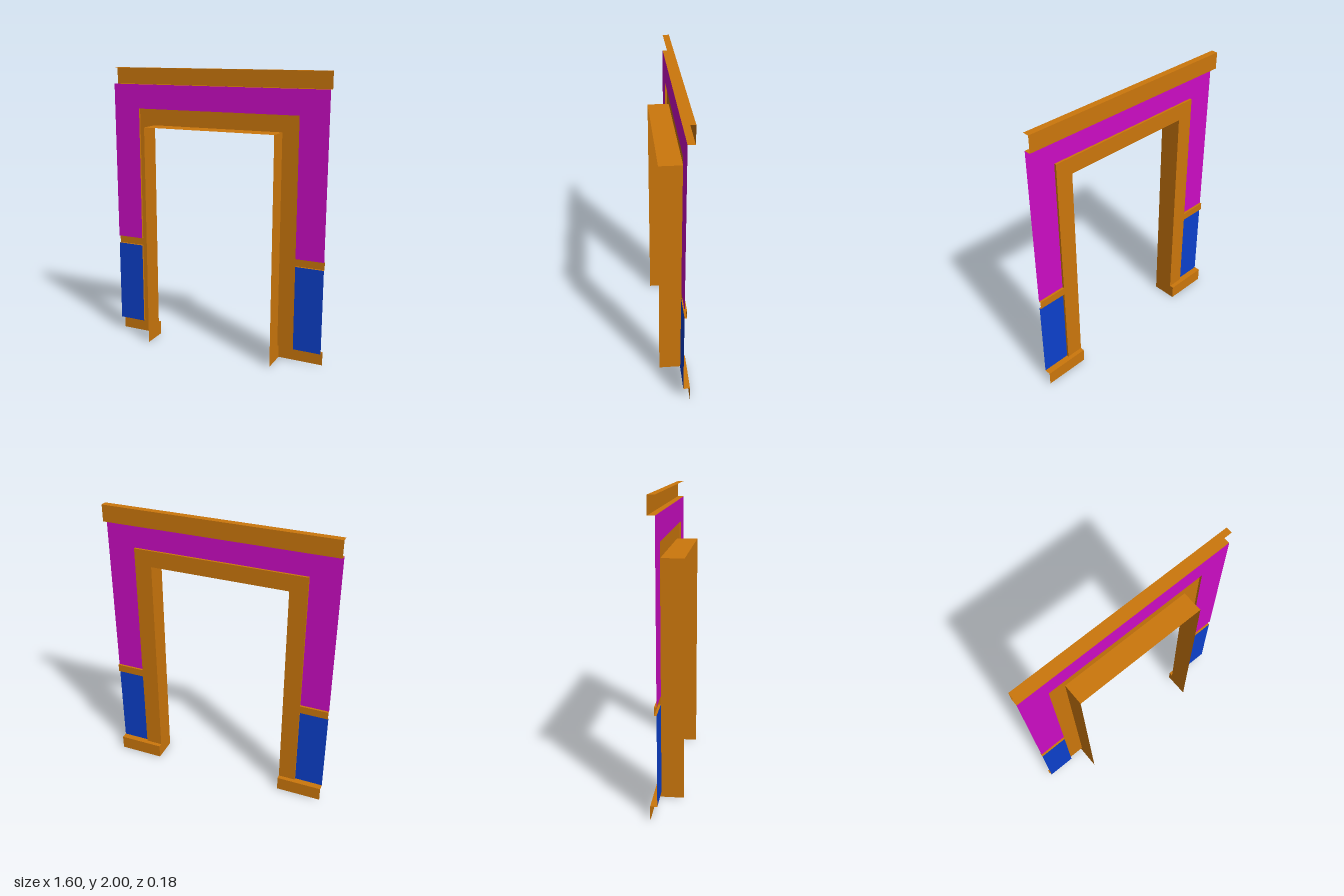
import * as THREE from 'three';

const mat = (color) => new THREE.MeshStandardMaterial({ color, side: THREE.DoubleSide });

// Key positions: opening, casing edge, wall edge
const X_OPEN = 0.48, X_CASE = 0.6, X_WALL = 0.8;
const Y_BASE = 0.1, Y_RAIL0 = 0.7, Y_RAIL1 = 0.755;
const Y_OPEN = 1.6, Y_CASE = 1.715, Y_CROWN = 1.885, Y_TOP = 2;
const Z_DEEP = 0.09, Z_WALL = -0.045, Z_CASE = -0.06, Z_TRIM = -0.09;

// Thin folded strip: a path of points swept along one vector, flat faces
function ribbon(path, sweep) {
  const pos = [];
  const s = new THREE.Vector3(...sweep);
  for (let i = 0; i < path.length - 1; i++) {
    const a = new THREE.Vector3(...path[i]), b = new THREE.Vector3(...path[i + 1]);
    const c = b.clone().add(s), d = a.clone().add(s);
    for (const p of [a, b, c, a, c, d]) pos.push(p.x, p.y, p.z);
  }
  const geo = new THREE.BufferGeometry();
  geo.setAttribute('position', new THREE.Float32BufferAttribute(pos, 3));
  geo.computeVertexNormals();
  return geo;
}

// Moulding running along x with a [y, z] profile
const moulding = (profile, x0, x1) =>
  ribbon(profile.map(([y, z]) => [x0, y, z]), [x1 - x0, 0, 0]);

// Edge following an [x, y] path, deep from z0 to z1
const edge = (path, z0, z1) =>
  ribbon(path.map(([x, y]) => [x, y, z0]), [0, 0, z1 - z0]);

// Flat arch-shaped face looking towards -z
function archFace(xIn, xOut, y0, yIn, yOut, z) {
  const shape = new THREE.Shape([
    [-xOut, y0], [-xIn, y0], [-xIn, yIn], [xIn, yIn],
    [xIn, y0], [xOut, y0], [xOut, yOut], [-xOut, yOut],
  ].map(([x, y]) => new THREE.Vector2(x, y)));
  return new THREE.ShapeGeometry(shape).rotateY(Math.PI).translate(0, 0, z);
}

export function createModel() {
  const model = new THREE.Group();
  model.name = 'doorway';
  const wood = mat(0xcc770c), upper = mat(0xcc0cc4), lower = mat(0x0c40cc);
  const add = (name, geo, material) => {
    const mesh = new THREE.Mesh(geo, material);
    mesh.name = name;
    model.add(mesh);
  };

  // Lining of the opening and the casing around it
  add('jambLining', edge([[-X_OPEN, 0], [-X_OPEN, Y_OPEN], [X_OPEN, Y_OPEN], [X_OPEN, 0]], Z_CASE, Z_DEEP), wood);
  add('casingFace', archFace(X_OPEN, X_CASE, Y_BASE, Y_OPEN, Y_CASE, Z_CASE), wood);
  add('casingEdge', edge([[X_CASE, Y_RAIL1], [X_CASE, Y_CASE], [-X_CASE, Y_CASE], [-X_CASE, Y_RAIL1]], Z_CASE, Z_WALL), wood);

  // Wall above the rail, and the crown moulding
  add('upperWall', archFace(X_CASE, X_WALL, Y_RAIL1, Y_CASE, Y_CROWN, Z_WALL), upper);
  add('crownMoulding', moulding(
    [[Y_CROWN, Z_WALL], [Y_CROWN, Z_TRIM], [Y_TOP, Z_TRIM], [Y_TOP, Z_WALL]], -X_WALL, X_WALL), wood);

  // Lower wall, rail and baseboard on both sides
  for (const side of [1, -1]) {
    const label = side > 0 ? 'left' : 'right';
    const span = (a, b) => (side > 0 ? [a, b] : [-b, -a]);
    const upright = (x, y0, y1, up) => (up ? [[x, y0], [x, y1]] : [[x, y1], [x, y0]]);
    const outer = span(X_CASE, X_WALL), inner = span(X_OPEN, X_CASE);

    add(label + 'LowerWall', moulding([[Y_BASE, Z_WALL], [Y_RAIL0, Z_WALL]], ...outer), lower);
    add(label + 'ChairRail', moulding(
      [[Y_RAIL0, Z_WALL], [Y_RAIL0, Z_CASE], [Y_RAIL1, Z_CASE], [Y_RAIL1, Z_WALL]], ...outer), wood);
    add(label + 'LowerCasingEdge', edge(upright(side * X_CASE, Y_BASE, Y_RAIL0, side > 0), Z_CASE, Z_WALL), wood);
    add(label + 'Baseboard', moulding([[0, Z_TRIM], [Y_BASE, Z_TRIM], [Y_BASE, Z_WALL]], ...outer), wood);
    add(label + 'Plinth', moulding([[0, Z_TRIM], [Y_BASE, Z_TRIM], [Y_BASE, Z_CASE]], ...inner), wood);
    add(label + 'PlinthReturn', edge(upright(side * X_OPEN, 0, Y_BASE, side < 0), Z_TRIM, Z_CASE), wood);
  }
  return model;
}
